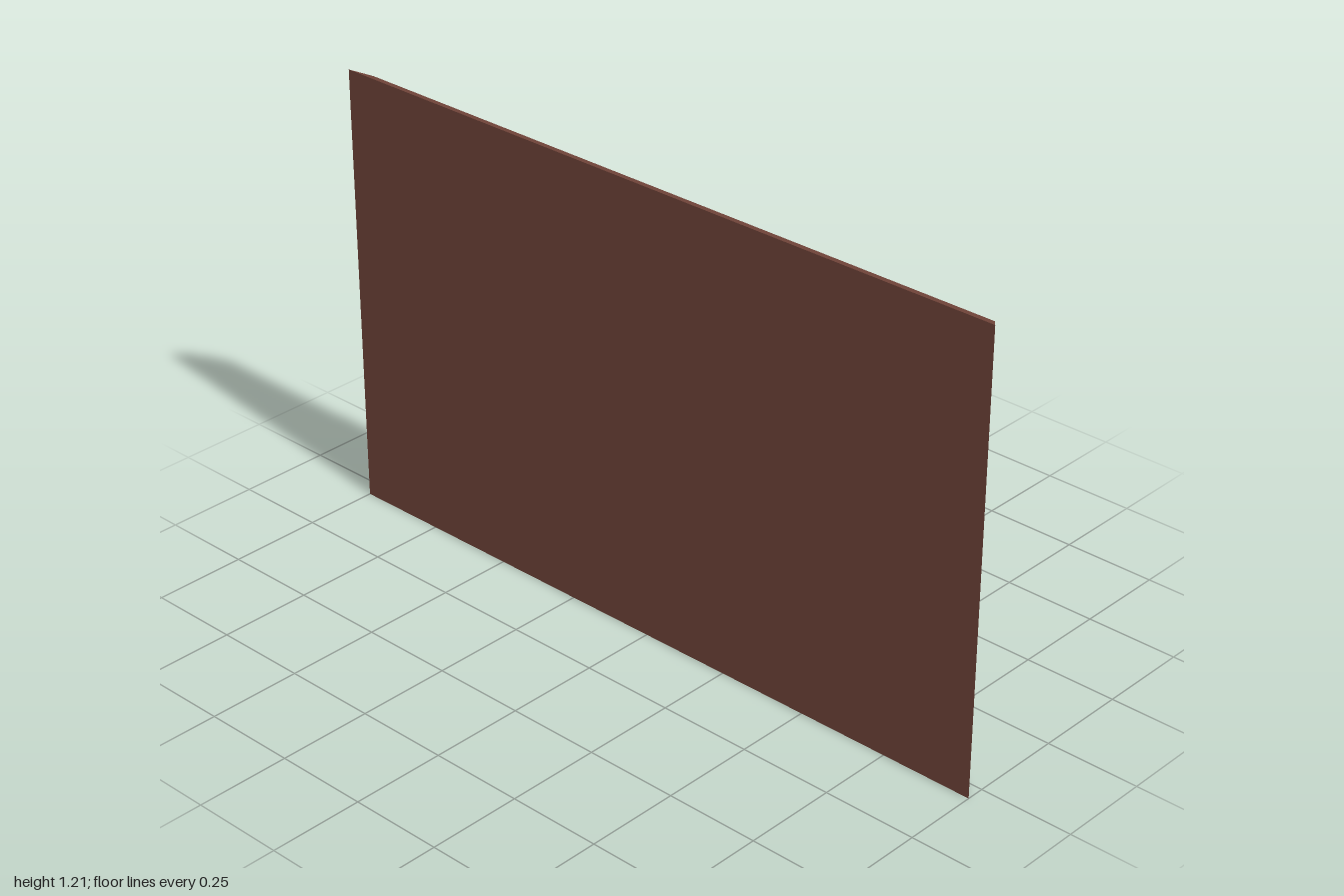
import * as THREE from 'three';

const W = 2, H = 1.205, BACK = -0.048, FRONT = 0.048, GLASS = -0.003;
const wood = new THREE.MeshStandardMaterial({ color: 0x74463b, flatShading: true });
const glass = new THREE.MeshStandardMaterial({ color: 0xcae3d3 });

// Rectangle {l, r, b, t} shrunk by du sideways and dv vertically
const inset = (q, du, dv) => ({ l: q.l + du, r: q.r - du, b: q.b + dv, t: q.t - dv });
const corners = (q) => [[q.l, q.b], [q.r, q.b], [q.r, q.t], [q.l, q.t]];

// Mitred moulding: sweeps a profile of [inset u, inset v, depth] round a rectangle
function moulding(rect, profile) {
  const pos = [];
  const rings = profile.map(([du, dv, d]) => corners(inset(rect, du, dv)).map(([x, y]) => [x, y, d]));
  for (let i = 0; i < rings.length - 1; i++) {
    for (let k = 0; k < 4; k++) {
      const n = (k + 1) % 4;
      const a = rings[i][k], b = rings[i][n], c = rings[i + 1][n], d = rings[i + 1][k];
      pos.push(...a, ...b, ...c, ...a, ...c, ...d);
    }
  }
  const g = new THREE.BufferGeometry();
  g.setAttribute('position', new THREE.Float32BufferAttribute(pos, 3));
  g.computeVertexNormals();
  return g;
}

function pane(rect, depth) {
  const g = new THREE.PlaneGeometry(rect.r - rect.l, rect.t - rect.b);
  return g.translate((rect.l + rect.r) / 2, (rect.b + rect.t) / 2, depth);
}

export function createModel() {
  const model = new THREE.Group();
  model.name = 'window';
  const sash = new THREE.Group();
  sash.name = 'sash';
  sash.rotation.y = Math.PI / 2; // the glazed side faces +x
  model.add(sash);

  const add = (name, geometry, material) => {
    const mesh = new THREE.Mesh(geometry, material);
    mesh.name = name;
    sash.add(mesh);
  };

  // Outer frame with rounded bevel
  const outer = { l: -W / 2, r: W / 2, b: 0, t: H };
  add('frameBevel', moulding(outer, [
    [0, 0, BACK], [0.037, 0.022, 0], [0.068, 0.04, 0.025], [0.105, 0.065, FRONT],
  ]), wood);

  // Four openings, two columns by two rows
  const openings = [];
  for (const [l, r] of [[-0.825, -0.018], [0.016, 0.823]]) {
    for (const [b, t] of [[0.15, 0.583], [0.632, 1.065]]) openings.push({ l, r, b, t });
  }

  // Flat front of the frame and glazing bars
  const toPoints = (q) => corners(q).map(([x, y]) => new THREE.Vector2(x, y));
  const face = new THREE.Shape(toPoints(inset(outer, 0.105, 0.065)));
  openings.forEach((q) => face.holes.push(new THREE.Path(toPoints(q).reverse())));
  add('frameFace', new THREE.ShapeGeometry(face).translate(0, 0, FRONT), wood);

  // Sloped beads and glass panes
  openings.forEach((q) => {
    add('glazingBead', moulding(q, [[0, 0, FRONT], [0.008, 0.005, 0.026], [0.022, 0.012, GLASS]]), wood);
    add('glassPane', pane(inset(q, 0.022, 0.012), GLASS), glass);
  });

  // Solid back
  add('backPanel', new THREE.PlaneGeometry(W, H).rotateY(Math.PI).translate(0, H / 2, BACK), wood);
  return model;
}
